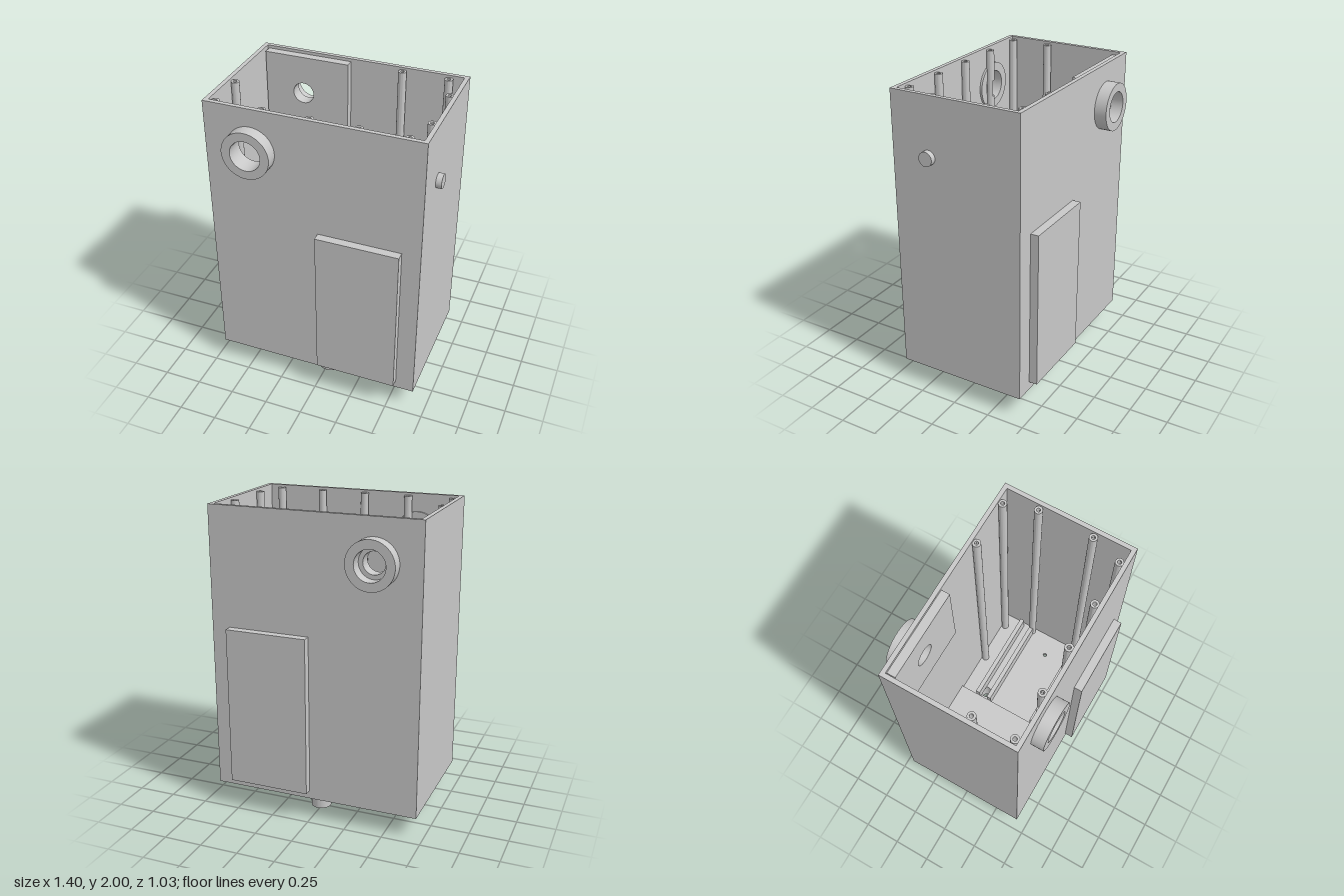
import * as THREE from 'three';
import { toCreasedNormals } from 'three/addons/utils/BufferGeometryUtils.js';

const X0 = -0.703, X1 = 0.666, Z = 0.433, WALL = 0.028, BOTTOM = 0.136, TOP = 2, FLOOR = 0.163;
const PORT = [-0.406, 1.729], POST_TOP = 1.985;

export function createModel() {
  const group = new THREE.Group();
  const casingGrey = new THREE.MeshStandardMaterial({ color: 0xc8c8c8 });
  casingGrey.name = 'casing grey';

  const add = (name, geometry) => {
    const mesh = new THREE.Mesh(geometry, casingGrey);
    mesh.name = name;
    group.add(mesh);
    return mesh;
  };
  const rect = (a0, a1, b0, b1) => new THREE.Shape([
    new THREE.Vector2(a0, b0), new THREE.Vector2(a1, b0), new THREE.Vector2(a1, b1), new THREE.Vector2(a0, b1)]);
  const disc = (a, b, r) => new THREE.Shape().absarc(a, b, r, 0, Math.PI * 2);
  // Cut round holes [a, b, radius] into an outline
  const cut = (shape, ...holes) => {
    holes.forEach(([a, b, r]) => shape.holes.push(new THREE.Path().absarc(a, b, r, 0, Math.PI * 2, true)));
    return shape;
  };
  const extrude = (shape, depth) => toCreasedNormals(
    new THREE.ExtrudeGeometry(shape, { depth, bevelEnabled: false, curveSegments: 24 }), 0.6);
  // Outline in x, y pushed from z0 to z1
  const upright = (name, shape, z0, z1) => add(name, extrude(shape, z1 - z0).translate(0, 0, z0));
  // Outline in x, z pushed from y0 to y1
  const plan = (name, shape, y0, y1) => add(name, extrude(shape, y1 - y0).rotateX(Math.PI / 2).translate(0, y1, 0));
  const box = (name, x0, x1, y0, y1, z0, z1) => add(name,
    new THREE.BoxGeometry(x1 - x0, y1 - y0, z1 - z0).translate((x0 + x1) / 2, (y0 + y1) / 2, (z0 + z1) / 2));

  // Open-topped casing; the back opening is narrower than its ring
  const wall = (bore) => cut(rect(X0, X1, BOTTOM, TOP), [...PORT, bore]);
  upright('frontWall', wall(0.098), Z - WALL, Z);
  upright('backWall', wall(0.07), -Z, -Z + WALL);
  box('rightWall', X0, X0 + WALL, BOTTOM, TOP, -Z + WALL, Z - WALL);
  box('leftWall', X1 - WALL, X1, BOTTOM, TOP, -Z + WALL, Z - WALL);
  const pipes = [[0.012, -0.237, 0.037, 0.066], [0.012, 0.239, 0.05, 0.083]];
  plan('floor', cut(rect(X0 + WALL, X1 - WALL, -Z + WALL, Z - WALL),
    ...pipes.map(([x, z, r]) => [x, z, r]), [0.487, 0, 0.013]), BOTTOM, FLOOR);

  // Raised half of the floor with a small collar
  box('raisedFloor', X0 + WALL, -0.048, FLOOR, 0.21, -Z + WALL, Z - WALL);
  plan('floorCollar', cut(disc(-0.403, 0, 0.061), [-0.403, 0, 0.052]), 0.21, 0.23);

  // Port rings on the front and back, with a backing plate inside
  const ring = () => cut(disc(...PORT, 0.154), [...PORT, 0.098]);
  upright('frontPortRing', ring(), 0.39, 0.513);
  upright('backPortRing', ring(), -0.513, -Z);
  upright('portBackingPlate', cut(rect(-0.666, -0.098, 1.42, 1.98), [...PORT, 0.07]), -Z + WALL, -0.35);

  // Raised panels outside and the lining behind the front one
  box('frontPanel', 0.012, 0.547, 0.192, 1.232, Z, 0.487);
  box('backPanel', 0.012, 0.547, 0.192, 1.232, -0.487, -Z);
  box('frontLining', -0.08, X1 - WALL, FLOOR, 1.27, 0.388, Z - WALL);

  // Paired guide rails on the lower floor
  for (const side of [-1, 1]) {
    for (const z of [0.18, 0.27]) {
      box('guideRail', -0.048, 0.616, FLOOR, 0.27, side * z - 0.015, side * z + 0.015);
    }
  }

  // Hollow screw posts along the walls
  const post = (x, z, y0, y1) => plan('screwPost', cut(disc(x, z, 0.026), [x, z, 0.012]), y0, y1);
  const posts = [[-0.643, 0.38], [-0.048, 0.38], [0.25, 0.38], [0.547, 0.38],
    [0.25, -0.382], [0.547, -0.382], [0.612, -0.18], [0.612, 0.178], [-0.648, 0.117]];
  posts.forEach(([x, z]) => post(x, z, FLOOR, POST_TOP));

  // The post crossing the front port is notched, leaving a sliver beside the opening
  const [notchX, notchZ] = [-0.346, 0.38];
  post(notchX, notchZ, FLOOR, PORT[1] - 0.055);
  post(notchX, notchZ, PORT[1] + 0.055, POST_TOP);
  plan('notchedPostSliver', new THREE.Shape().absarc(notchX, notchZ, 0.026, -1.2, 1.2),
    PORT[1] - 0.055, PORT[1] + 0.055);

  // Underside: round base disc and two pipe stubs
  plan('baseDisc', disc(-0.405, 0, 0.26), 0.062, BOTTOM);
  for (const [x, z, bore, radius] of pipes) {
    plan('pipeStub', cut(disc(x, z, radius), [x, z, bore]), 0, BOTTOM);
  }

  // Side button
  const button = add('sideButton', new THREE.CylinderGeometry(0.046, 0.046, 0.036, 32));
  button.rotation.z = Math.PI / 2;
  button.position.set(X1 + 0.018, 1.621, 0.18);

  return group;
}
